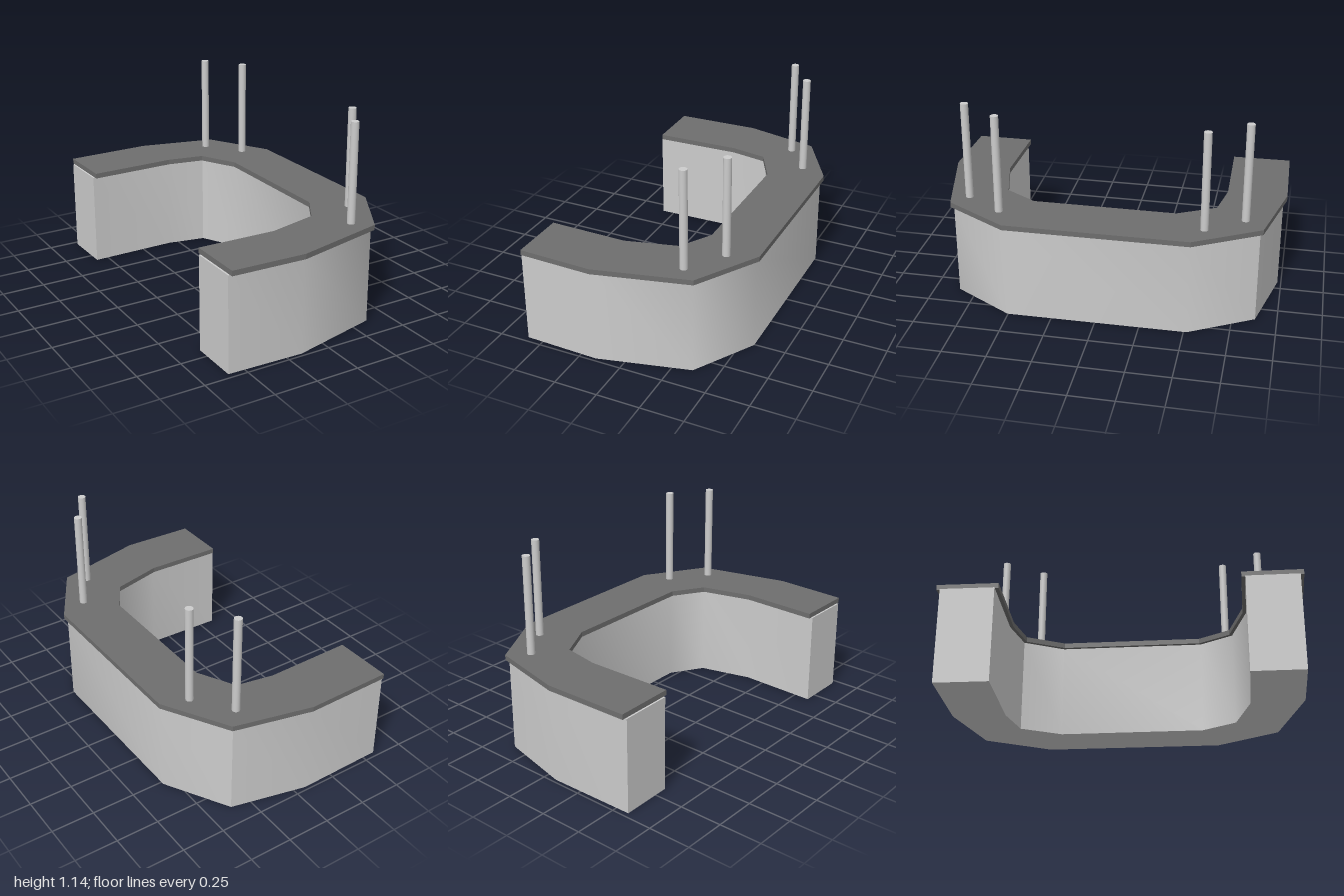
import * as THREE from 'three';
import { toCreasedNormals } from 'three/addons/utils/BufferGeometryUtils.js';

// Stations along the counter: outer x, z and inner x, z
const STATIONS = [
  [-0.57, -0.99, -0.565, -0.65],
  [-0.07, -1.0, -0.06, -0.66],
  [0.375, -0.895, 0.155, -0.62],
  [0.585, -0.525, 0.268, -0.405],
  [0.59, 0.51, 0.268, 0.41],
  [0.375, 0.87, 0.158, 0.59],
  [-0.16, 1.0, -0.135, 0.665],
  [-0.585, 0.985, -0.585, 0.655],
];

// Horizontal slab following the stations; inset is a fraction of the width
function slab(y, height, inset, endShift) {
  const outer = [], inner = [];
  STATIONS.forEach(([ox, oz, ix, iz], i) => {
    const shift = i === 0 || i === STATIONS.length - 1 ? endShift : 0;
    const a = new THREE.Vector2(ox + shift, -oz);
    const b = new THREE.Vector2(ix + shift, -iz);
    outer.push(a.clone().lerp(b, inset));
    inner.unshift(b.clone().lerp(a, inset));
  });
  const shape = new THREE.Shape([...outer, ...inner]);
  const geometry = new THREE.ExtrudeGeometry(shape, { depth: height, bevelEnabled: false });
  geometry.rotateX(-Math.PI / 2);
  geometry.translate(0, y, 0);
  return geometry;
}

export function createModel() {
  const group = new THREE.Group();
  const grey = new THREE.MeshStandardMaterial({ color: 0xcccccc });
  const dark = new THREE.MeshStandardMaterial({ color: 0x6e6e6e });

  const add = (name, geometry, material) => {
    const mesh = new THREE.Mesh(geometry, material);
    mesh.name = name;
    group.add(mesh);
    return mesh;
  };

  // Counter body, softly shaded round the bends
  add('counterBase', toCreasedNormals(slab(0, 0.545, 0.06, -0.01), THREE.MathUtils.degToRad(46.3)), grey);

  // Overhanging worktop
  add('counterTop', slab(0.545, 0.03, 0, 0), dark);

  // Upright posts at the two bends
  const post = new THREE.CylinderGeometry(0.0225, 0.0225, 0.57, 20);
  [[0.28, -0.79], [0.43, -0.58], [0.425, 0.57], [0.28, 0.785]].forEach(([x, z], i) => {
    add(`post${i + 1}`, post, grey).position.set(x, 0.86, z);
  });

  return group;
}
